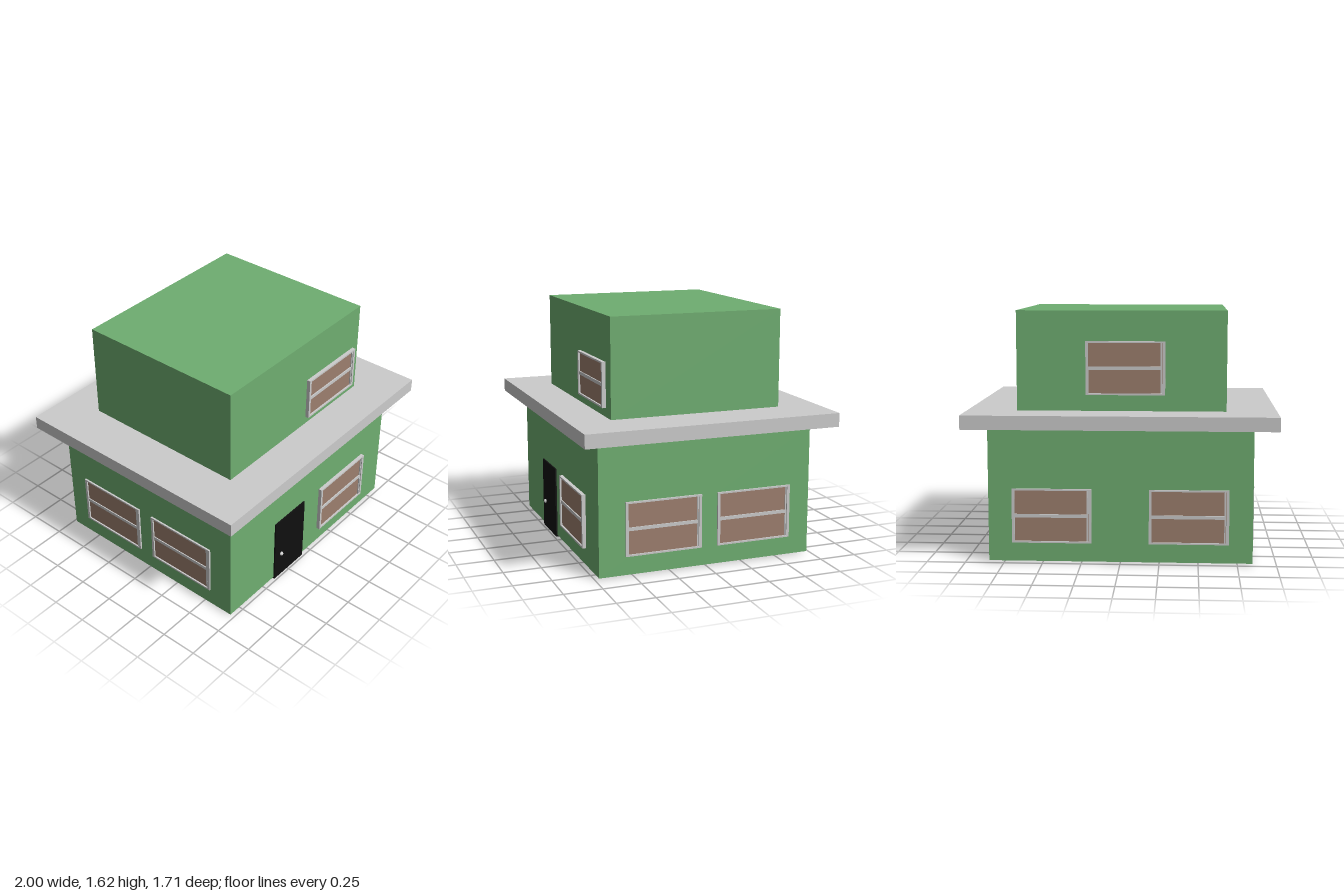
import * as THREE from 'three';

const mat = (color) => new THREE.MeshStandardMaterial({ color });
const GREEN = mat(0x6fae71), GREY = mat(0xcccccc), BROWN = mat(0x9d7f6e), BLACK = mat(0x101010);

// Box given by its minimum and maximum corners
function box(name, material, [x0, y0, z0], [x1, y1, z1]) {
  const mesh = new THREE.Mesh(new THREE.BoxGeometry(x1 - x0, y1 - y0, z1 - z0), material);
  mesh.position.set((x0 + x1) / 2, (y0 + y1) / 2, (z0 + z1) / 2);
  mesh.name = name;
  return mesh;
}

// Sash window facing +z, back face at z = 0, centred on x and y
function makeWindow(w, h, d) {
  const g = new THREE.Group();
  const x = w / 2, y = h / 2, t = 0.011;
  g.add(
    box('pane', BROWN, [-x + 0.01, -y + t, 0], [x - 0.01, y - t, d * 0.55]),
    box('frameTop', GREY, [-x, y - t, 0], [x, y, d]),
    box('frameBottom', GREY, [-x, -y, 0], [x, -y + t, d]),
    box('frameLeft', GREY, [-x, -y + t, 0], [-x + 0.018, y - t, d]),
    box('frameRight', GREY, [x - 0.019, -y + t, 0], [x, y - t, d]),
    // slim inner strip beside the wider jamb
    box('innerStrip', GREY, [x - 0.031, -y + t, 0], [x - 0.022, y - t, d * 0.85]),
    box('crossBar', GREY, [-x + 0.018, -0.011, 0], [x - 0.031, 0.011, d * 0.85]),
  );
  return g;
}

export function createModel() {
  const house = new THREE.Group();
  house.name = 'house';

  // Storeys and the overhanging slab between them
  house.add(
    box('lowerStorey', GREEN, [-0.848, 0.01, -0.725], [0.848, 0.865, 0.725]),
    box('roofSlab', GREY, [-1, 0.88, -0.853], [1, 0.97, 0.853]),
    box('upperStorey', GREEN, [-0.676, 0.97, -0.58], [0.676, 1.615, 0.58]),
  );

  // Door with a round knob
  house.add(box('door', BLACK, [-0.39, 0, 0.715], [-0.075, 0.485, 0.735]));
  const knob = new THREE.Mesh(new THREE.SphereGeometry(0.014, 16, 12), GREY);
  knob.position.set(-0.325, 0.19, 0.738);
  knob.name = 'doorKnob';
  house.add(knob);

  // Windows: name, position of back centre, turn about y, height, depth
  const H = 0.353, Y = 0.308, T = Math.PI / 2;
  const windows = [
    ['frontWindow', 0.348, Y, 0.73, 0, H, 0.025],
    ['upperFrontWindow', 0.348, 1.18, 0.588, 0, 0.292, 0.025],
    ['upperBackWindow', -0.026, 1.247, -0.572, 2 * T, 0.346, 0.024],
    ['backWindow', 0.44, Y, -0.715, 2 * T, H, 0.022],
    ['backWindow', -0.44, Y, -0.715, 2 * T, H, 0.022],
  ];
  for (const z of [0.294, -0.328]) {
    windows.push(['leftWindow', 0.838, Y, z, T, H, 0.022]);
    windows.push(['rightWindow', -0.838, Y, z + 0.005, -T, H, 0.022]);
  }
  for (const [name, x, y, z, turn, h, d] of windows) {
    const win = makeWindow(0.512, h, d);
    win.name = name;
    win.position.set(x, y, z);
    win.rotation.y = turn;
    house.add(win);
  }
  return house;
}
